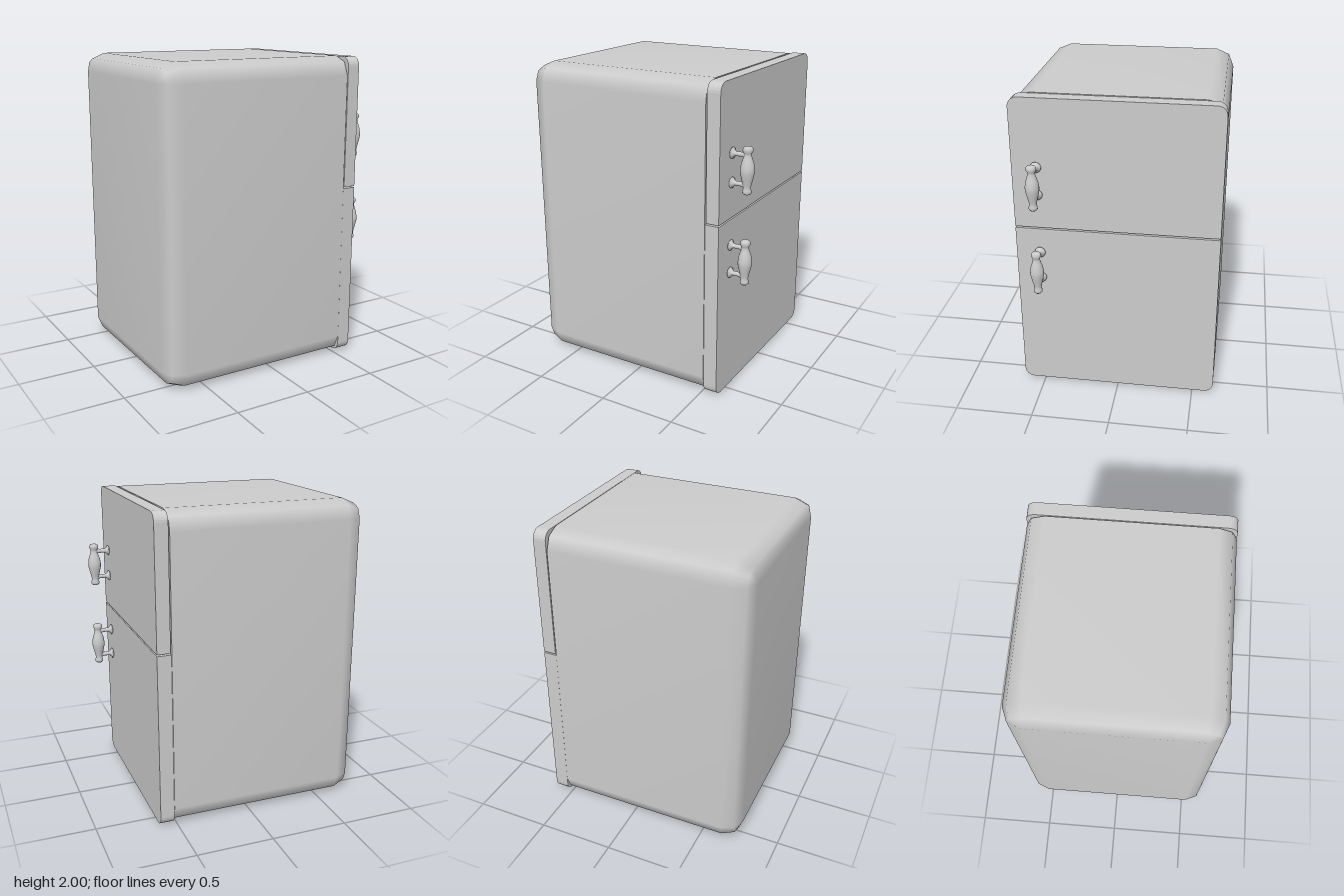
import * as THREE from 'three';
import { mergeVertices } from 'three/addons/utils/BufferGeometryUtils.js';

const material = new THREE.MeshStandardMaterial({ color: 0xcccccc });

function part(name, geometry, parent, x = 0, y = 0, z = 0) {
  const mesh = new THREE.Mesh(geometry, material);
  mesh.name = name;
  mesh.position.set(x, y, z);
  parent.add(mesh);
  return mesh;
}

// Rectangle outline with separate radii for its top and bottom corners
function panelShape(halfWidth, y0, y1, bottomR, topR) {
  const s = new THREE.Shape();
  s.moveTo(-halfWidth + bottomR, y0);
  const corner = (x, y, r, start) => {
    if (r > 0) s.absarc(x, y, r, start, start + Math.PI / 2, false);
    else s.lineTo(x, y);
  };
  corner(halfWidth - bottomR, y0 + bottomR, bottomR, -Math.PI / 2);
  corner(halfWidth - topR, y1 - topR, topR, 0);
  corner(-halfWidth + topR, y1 - topR, topR, Math.PI / 2);
  corner(-halfWidth + bottomR, y0 + bottomR, bottomR, Math.PI);
  s.closePath();
  return s;
}

// Cabinet shell: cross-sections along x, rounded in two steps towards the back
function cabinetGeometry() {
  const R = 0.12, halfZ = 0.52, halfY = 0.88;
  const rings = [
    [-0.76, 0],
    [-0.64 - R * Math.SQRT1_2, R * Math.SQRT1_2],
    [-0.64, R],
    [0.52, R],
  ];
  const signs = [[1, 1], [-1, 1], [-1, -1], [1, -1]];
  const positions = [], index = [], n = 12;
  for (const [x, r] of rings) {
    signs.forEach(([sx, sy], c) => {
      for (let k = 0; k < 3; k++) {
        const a = (c + k / 2) * Math.PI / 2;
        positions.push(x, 1 + sy * halfY + r * Math.sin(a), -(sx * halfZ + r * Math.cos(a)));
      }
    });
  }
  for (let i = 0; i < rings.length - 1; i++) {
    for (let j = 0; j < n; j++) {
      const a = i * n + j, b = i * n + (j + 1) % n;
      index.push(a, b, a + n, b, b + n, a + n);
    }
  }
  index.push(0, 9, 6, 0, 6, 3); // flat back
  const g = new THREE.BufferGeometry();
  g.setAttribute('position', new THREE.Float32BufferAttribute(positions, 3));
  g.setIndex(index);
  const merged = mergeVertices(g);
  merged.computeVertexNormals();
  return merged;
}

function doorGeometry(y0, y1, bottomR, topR, depth) {
  const g = new THREE.ExtrudeGeometry(panelShape(0.638, y0, y1, bottomR, topR), {
    depth, bevelEnabled: false, curveSegments: 3,
  });
  return g.rotateY(Math.PI / 2);
}

// Turned grip held by two flanged posts; the origin is on the door face
function createHandle(name) {
  const handle = new THREE.Group();
  handle.name = name;
  const profile = [
    [0, -0.142], [0.02, -0.141], [0.027, -0.133], [0.027, -0.118], [0.022, -0.105],
    [0.025, -0.085], [0.034, -0.05], [0.042, -0.015], [0.043, 0.01], [0.038, 0.045],
    [0.028, 0.075], [0.022, 0.095], [0.024, 0.108], [0.031, 0.12], [0.03, 0.136],
    [0.022, 0.144], [0, 0.145],
  ].map(([r, y]) => new THREE.Vector2(r, y));
  part('grip', new THREE.LatheGeometry(profile, 24), handle, 0.103);

  const postProfile = [
    [0, 0], [0.034, 0], [0.034, 0.009], [0.024, 0.012], [0.022, 0.019],
    [0.014, 0.024], [0.014, 0.065], [0.018, 0.085], [0.018, 0.1],
  ].map(([r, y]) => new THREE.Vector2(r, y));
  for (const y of [-0.085, 0.095]) {
    const post = new THREE.LatheGeometry(postProfile, 16).rotateZ(-Math.PI / 2);
    part('handlePost', post, handle, 0, y);
  }
  return handle;
}

export function createModel() {
  const model = new THREE.Group();
  model.name = 'refrigerator';

  // Cabinet with its front closed behind the doors
  part('cabinet', cabinetGeometry(), model);
  const front = new THREE.ShapeGeometry(panelShape(0.64, 0, 2, 0.12, 0.12), 2);
  part('cabinetFront', front.rotateY(Math.PI / 2), model, 0.52);

  // Doors separated by narrow gaps
  part('upperDoor', doorGeometry(1.16, 1.997, 0, 0.06, 0.085), model, 0.527);
  part('lowerDoor', doorGeometry(0.01, 1.15, 0.06, 0, 0.09), model, 0.522);

  // One handle per door
  for (const [name, y] of [['upperHandle', 1.47], ['lowerHandle', 0.893]]) {
    const handle = createHandle(name);
    handle.position.set(0.612, y, 0.487);
    model.add(handle);
  }
  return model;
}
